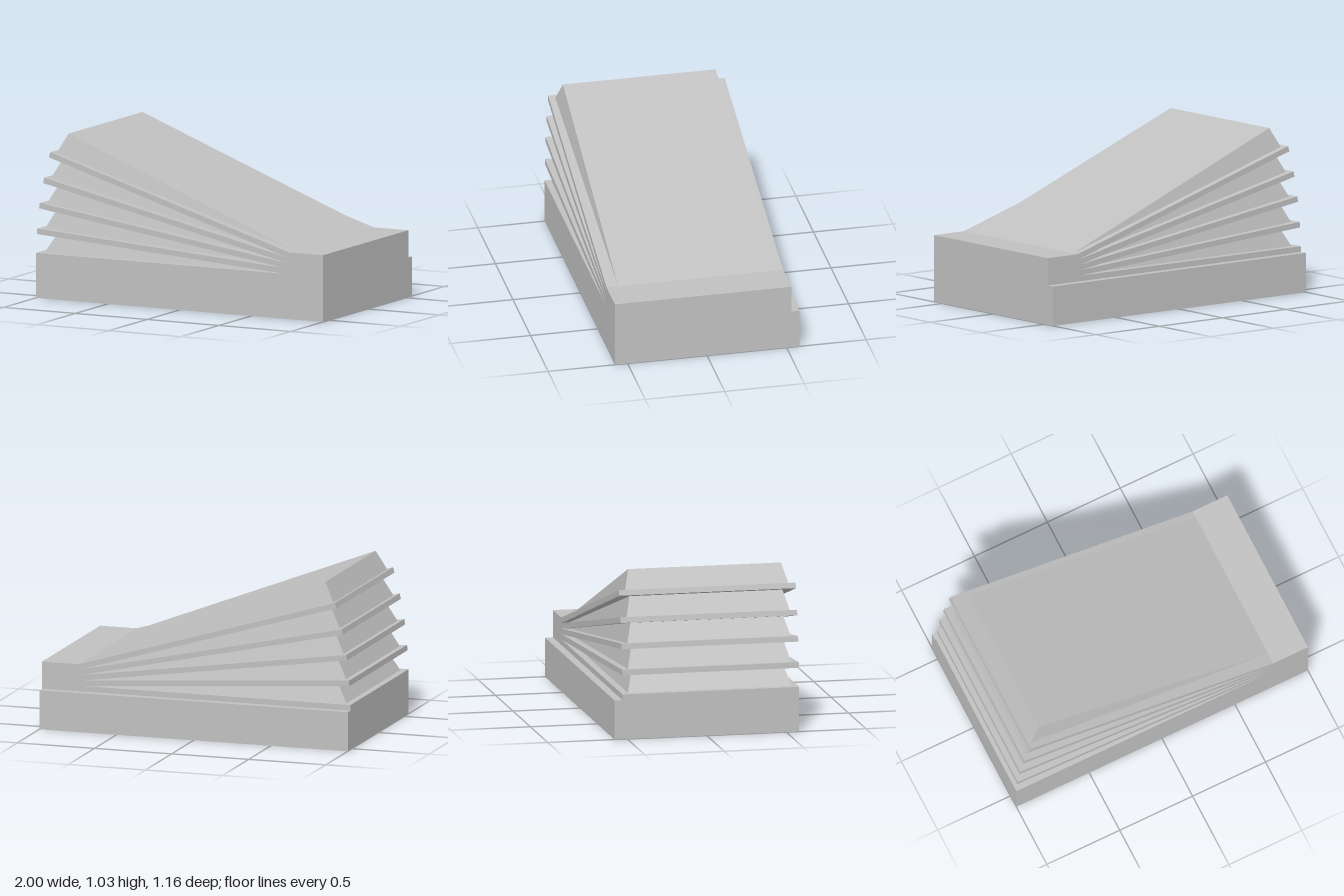
import * as THREE from 'three';

const grey = new THREE.MeshStandardMaterial({ color: 0xc0c0c0 });
grey.name = 'plain grey';

const FRONT = 0.58, BACK = -0.53, LEDGE = 0.245, T = 0.0345, PLATE_LENGTH = 1.735;
const lerp = THREE.MathUtils.lerp;

// Tilt of the floor, the four plates and the sloping top, from the hinge.
const tilts = [0, 3.9, 8.1, 12.3, 16.7, 21.2].map(THREE.MathUtils.degToRad);

// Hinge points, stacked by the plate thickness at each tilt.
const hinges = [[0.738, 0.28]];
for (let i = 1; i <= 4; i++) {
  const [x, y] = hinges[i - 1];
  hinges.push([x + T * Math.sin(tilts[i]), y + T * Math.cos(tilts[i])]);
}

// Point at a distance from a hinge, out to the left along a tilt.
const reach = ([x, y], tilt, d) => [x - d * Math.cos(tilt), y + d * Math.sin(tilt)];

// Flat-faced solid between a lower and an upper rectangle.
// Each rectangle is given by its left point, right point, front z and back z.
function block(name, lower, upper) {
  const ring = ([l, r, f, b]) => [[...l, f], [...r, f], [...r, b], [...l, b]];
  const b = ring(lower), t = ring(upper), pos = [];
  const quad = (p, q, r, s) => pos.push(...p, ...q, ...r, ...p, ...r, ...s);
  quad(t[0], t[1], t[2], t[3]);
  quad(b[0], b[3], b[2], b[1]);
  for (let i = 0; i < 4; i++) {
    const j = (i + 1) % 4;
    quad(b[i], b[j], t[j], t[i]);
  }
  const geo = new THREE.BufferGeometry();
  geo.setAttribute('position', new THREE.Float32BufferAttribute(pos, 3));
  geo.computeVertexNormals();
  const mesh = new THREE.Mesh(geo, grey);
  mesh.name = name;
  return mesh;
}

export function createModel() {
  const group = new THREE.Group();
  group.name = 'bellows';

  // Base slab, which leaves a ledge along the back.
  const slab = new THREE.Mesh(new THREE.BoxGeometry(2, LEDGE, 1.16), grey);
  slab.position.y = LEDGE / 2;
  slab.name = 'baseSlab';
  group.add(slab);

  // Upper base with the raised hinge block at the right end.
  const shape = new THREE.Shape();
  shape.moveTo(-1, LEDGE);
  shape.lineTo(1, LEDGE);
  shape.lineTo(1, hinges[4][1]);
  for (let i = 4; i >= 0; i--) shape.lineTo(...hinges[i]);
  shape.lineTo(-1, 0.28);
  const upperGeo = new THREE.ExtrudeGeometry(shape, { depth: FRONT - BACK, bevelEnabled: false });
  upperGeo.translate(0, 0, BACK);
  const upper = new THREE.Mesh(upperGeo, grey);
  upper.name = 'hingeBase';
  group.add(upper);

  // Thin plates fanned out from the hinge.
  for (let i = 1; i <= 4; i++) {
    const h0 = hinges[i - 1], h1 = hinges[i];
    group.add(block('plate' + i,
      [reach(h0, tilts[i], PLATE_LENGTH), h0, FRONT, BACK],
      [reach(h1, tilts[i], PLATE_LENGTH), h1, FRONT, BACK]));
  }

  // Tapered folds between the plates; the last one forms the sloping top.
  for (let i = 0; i <= 4; i++) {
    const h = hinges[i];
    group.add(block('fold' + (i + 1),
      [reach(h, tilts[i], lerp(1.698, 1.71, i / 4)), h, 0.54, -0.487],
      [reach(h, tilts[i + 1], lerp(1.637, 1.688, i / 4)), h, 0.507, -0.454]));
  }
  return group;
}
